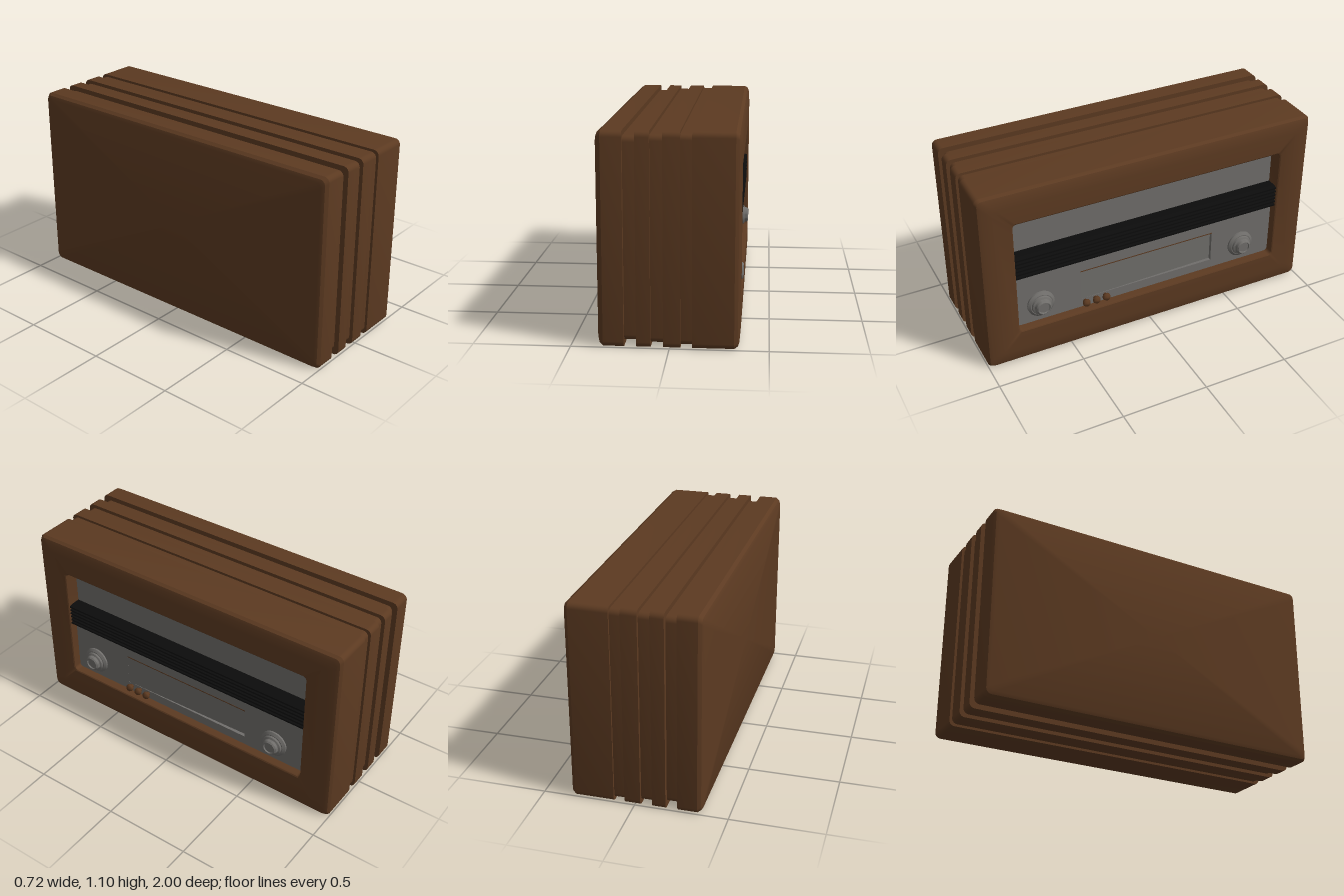
import * as THREE from 'three';
import { toCreasedNormals } from 'three/addons/utils/BufferGeometryUtils.js';

const material = (name, color) => {
  const m = new THREE.MeshStandardMaterial({ color });
  m.name = name;
  return m;
};

// Rounded rectangle ring in the plane at x, counter-clockwise seen from +x
function ring(x, halfZ, halfY, r, cy) {
  const pts = [];
  const n = 5;
  [[1, 1], [-1, 1], [-1, -1], [1, -1]].forEach(([su, sv], k) => {
    for (let i = 0; i <= n; i++) {
      const a = (k + i / n) * Math.PI / 2;
      const u = su * (halfZ - r) + r * Math.cos(a);
      const v = sv * (halfY - r) + r * Math.sin(a);
      pts.push([x, cy + v, -u]);
    }
  });
  return pts;
}

function loft(rings) {
  const pos = [];
  for (let i = 0; i < rings.length - 1; i++) {
    const a = rings[i], b = rings[i + 1];
    for (let j = 0; j < a.length; j++) {
      const k = (j + 1) % a.length;
      pos.push(...a[j], ...a[k], ...b[k], ...a[j], ...b[k], ...b[j]);
    }
  }
  const g = new THREE.BufferGeometry();
  g.setAttribute('position', new THREE.Float32BufferAttribute(pos, 3));
  return toCreasedNormals(g, 0.5);
}

export function createModel() {
  const group = new THREE.Group();
  group.name = 'tableRadio';
  const wood = material('brown wood', 0x5c3a21);
  const metal = material('grey metal', 0x706e6b);
  const black = material('black grille', 0x0c0c0c);

  const add = (name, geometry, mat, x = 0, y = 0, z = 0) => {
    const mesh = new THREE.Mesh(geometry, mat);
    mesh.name = name;
    mesh.position.set(x, y, z);
    group.add(mesh);
    return mesh;
  };

  // Cabinet: back, three grooves, front frame and window walls in one loft
  const outer = [
    [-0.362, 0.03], [-0.354, 0.012], [-0.335, 0],
    [-0.23, 0], [-0.23, 0.028], [-0.167, 0.028], [-0.167, 0],
    [-0.095, 0], [-0.095, 0.02], [-0.031, 0.02], [-0.031, 0],
    [0.055, 0], [0.055, 0.014], [0.114, 0.014], [0.114, 0],
    [0.325, 0], [0.343, 0.01], [0.35, 0.028], [0.355, 0.08],
  ].map(([x, inset]) => ring(x, 1 - inset, 0.55 - inset, 0.03, 0.55));
  const windowRings = [[0.355, 0.818, 0.358], [0.351, 0.812, 0.352], [0.342, 0.81, 0.35], [0.262, 0.81, 0.35]]
    .map(([x, hz, hy]) => ring(x, hz, hy, 0.022, 0.555));
  const backCentre = ring(-0.362, 0, 0, 0, 0.55);
  add('cabinet', loft([backCentre, ...outer, ...windowRings]), wood);

  // Upper panel, set deep in the window
  add('upperPanel', new THREE.BoxGeometry(0.01, 0.36, 1.63), metal, 0.265, 0.73, 0);

  // Lower control panel with a display opening
  const shape = new THREE.Shape([
    [-0.815, 0.2], [0.815, 0.2], [0.815, 0.56], [-0.815, 0.56],
  ].map(([u, v]) => new THREE.Vector2(u, v)));
  shape.holes.push(new THREE.Path([
    [-0.42, 0.26], [-0.42, 0.45], [0.415, 0.45], [0.415, 0.26],
  ].map(([u, v]) => new THREE.Vector2(u, v))));
  const panel = new THREE.ExtrudeGeometry(shape, { depth: 0.025, bevelEnabled: false });
  panel.rotateY(Math.PI / 2);
  add('controlPanel', panel, metal, 0.28);

  // Display plate, sloping deeper toward its -z end
  const display = add('display', new THREE.BoxGeometry(0.008, 0.2, 0.85), metal, 0.291, 0.355, 0);
  display.rotation.y = 0.023;
  add('displayTrim', new THREE.BoxGeometry(0.008, 0.006, 0.835), wood, 0.302, 0.449, 0.0025);

  // Ribbed grille band
  const ribs = 6, y0 = 0.543, y1 = 0.68, step = (y1 - y0) / ribs;
  const profile = [new THREE.Vector2(0.262, y0)];
  for (let i = 0; i < ribs; i++) {
    const y = y0 + i * step;
    profile.push(new THREE.Vector2(0.325, y), new THREE.Vector2(0.346, y + step * 0.3),
      new THREE.Vector2(0.346, y + step * 0.7));
  }
  profile.push(new THREE.Vector2(0.325, y1), new THREE.Vector2(0.262, y1));
  const grille = new THREE.ExtrudeGeometry(new THREE.Shape(profile), { depth: 1.62, bevelEnabled: false });
  add('grilleBand', grille, black, 0, 0, -0.81);

  // Stepped knobs
  const knob = new THREE.LatheGeometry([
    [0.08, -0.005], [0.08, 0.01], [0.066, 0.02], [0.061, 0.02], [0.058, 0.03],
    [0.048, 0.035], [0.045, 0.05], [0.038, 0.057], [0.034, 0.057], [0.031, 0.05], [0, 0.05],
  ].map(([r, h]) => new THREE.Vector2(r, h)), 32);
  knob.rotateZ(-Math.PI / 2);
  const knobGeometry = toCreasedNormals(knob, 0.5);
  [['leftKnob', -0.61], ['rightKnob', 0.663]].forEach(([name, z]) =>
    add(name, knobGeometry, metal, 0.305, 0.318, z));

  // Three small push buttons
  const button = new THREE.LatheGeometry([
    [0.012, -0.005], [0.012, 0.012], [0.022, 0.016], [0.023, 0.026], [0.018, 0.036], [0, 0.04],
  ].map(([r, h]) => new THREE.Vector2(r, h)), 16);
  button.rotateZ(-Math.PI / 2);
  [0.397, 0.335, 0.274].forEach((z) => add('pushButton', button, wood, 0.305, 0.24, z));

  return group;
}
